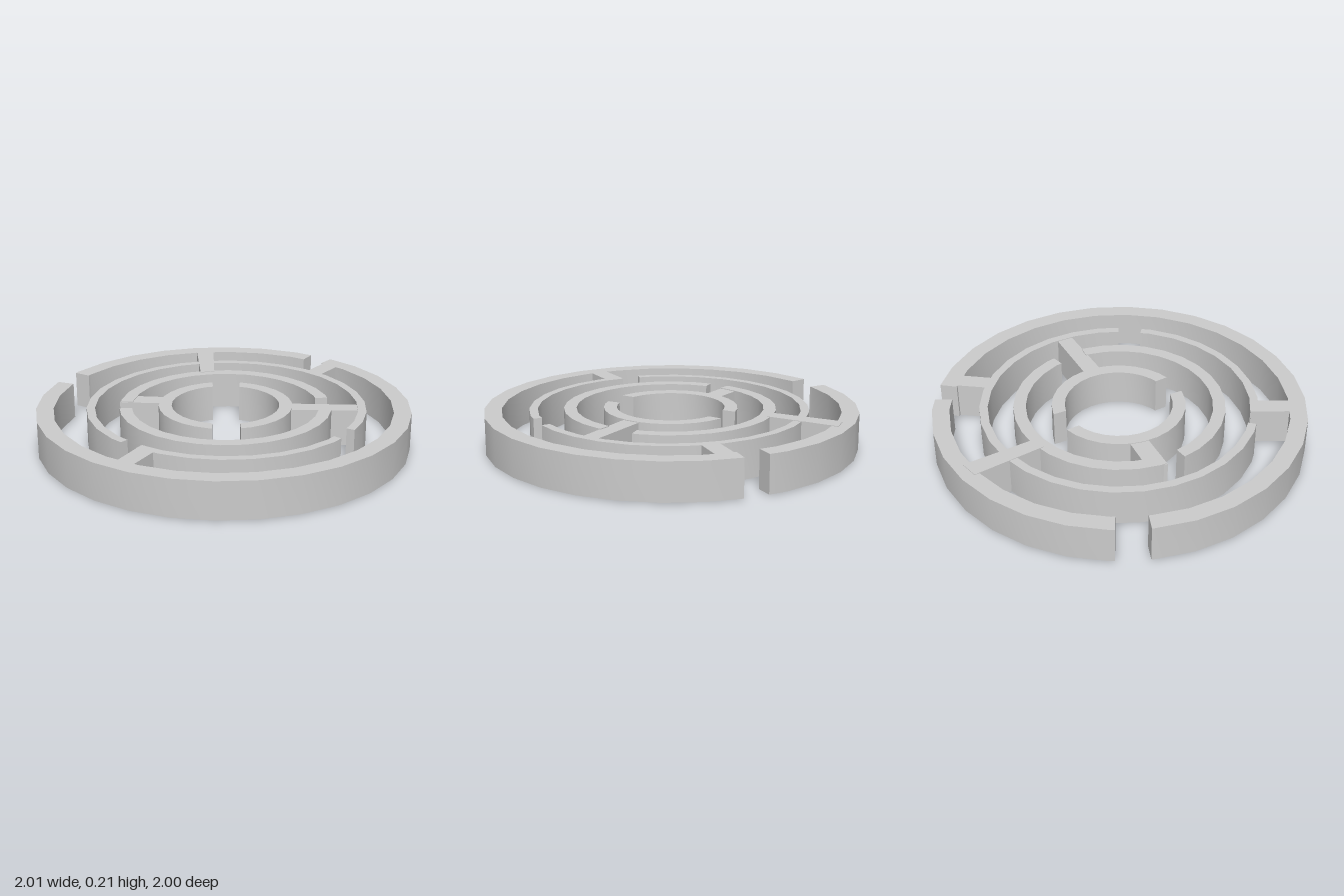
import * as THREE from 'three';
import { toCreasedNormals } from 'three/addons/utils/BufferGeometryUtils.js';

const HEIGHT = 0.2, BASE = 0.004, STEP = 12;
const material = new THREE.MeshStandardMaterial({ color: 0xcccccc });

// Upright wall from a plan outline of [x, z] points
function wall(name, outline, base = BASE) {
  const shape = new THREE.Shape(outline.map(([x, z]) => new THREE.Vector2(x, -z)));
  let geo = new THREE.ExtrudeGeometry(shape, { depth: HEIGHT, bevelEnabled: false });
  geo.rotateX(-Math.PI / 2);
  geo.translate(0, base, 0);
  geo = toCreasedNormals(geo, 0.5);
  const mesh = new THREE.Mesh(geo, material);
  mesh.name = name;
  return mesh;
}

// Points along a faceted circle, with corners on every STEP degrees;
// a cut between two corners stays on the straight facet
function arcPoints(r, from, to, cx, cz) {
  const angles = [from];
  for (let a = Math.ceil((from + 0.1) / STEP) * STEP; a < to - 0.1; a += STEP) angles.push(a);
  angles.push(to);
  const half = THREE.MathUtils.degToRad(STEP / 2);
  return angles.map((deg) => {
    const a = THREE.MathUtils.degToRad(deg);
    const offset = (((a % (2 * half)) + 2 * half) % (2 * half)) - half;
    const facetR = (r * Math.cos(half)) / Math.cos(offset);
    return [cx + facetR * Math.cos(a), cz - facetR * Math.sin(a)];
  });
}

// Ring wall; skew shortens the inner edge at both ends
function arcWall(name, { outer, inner, cx = 0, cz = 0, skew = 0 }, from, to) {
  return wall(name, [
    ...arcPoints(outer, from, to, cx, cz),
    ...arcPoints(inner, from + skew, to - skew, cx, cz).reverse(),
  ]);
}

export function createModel() {
  const group = new THREE.Group();
  group.name = 'circularMaze';

  // Concentric ring walls, each split by two openings
  const rings = [
    { name: 'outerRing', outer: 1.003, inner: 0.91, cx: -0.008, arcs: [[90.2, 181.3], [191.3, 442.5]] },
    { name: 'thinRing', outer: 0.75, inner: 0.705, cx: 0.008, cz: -0.004, arcs: [[3, 257.5], [266, 352.5]] },
    { name: 'middleRing', outer: 0.57, inner: 0.503, cx: 0.002, cz: -0.002, arcs: [[43.5, 207.5], [218.2, 385]] },
    { name: 'innerRing', outer: 0.36, inner: 0.29, cz: -0.006, skew: 2.5, arcs: [[-45, 109.2], [134, 291.2]] },
  ];
  for (const ring of rings) {
    ring.arcs.forEach(([from, to], i) => group.add(arcWall(`${ring.name}${i + 1}`, ring, from, to)));
  }

  // Straight walls joining neighbouring rings
  group.add(
    wall('backSpoke', [[0.13, -0.985], [0.108, -0.71], [0.203, -0.71], [0.225, -0.95]]),
    wall('backRightSpoke', [[-0.64, -0.69], [-0.4, -0.37], [-0.345, -0.43], [-0.565, -0.76]], BASE + 0.003),
    wall('backLeftSpoke', [[0.62, -0.4], [0.275, -0.205], [0.32, -0.12], [0.66, -0.32]], 0),
    wall('frontRightSpoke', [[-0.505, 0.265], [-0.28, 0.145], [-0.3, 0.045], [-0.53, 0.16]], 0),
    wall('frontSpoke', [[-0.045, 0.7], [-0.03, 0.95], [0.065, 0.95], [0.055, 0.7]]),
  );
  return group;
}
